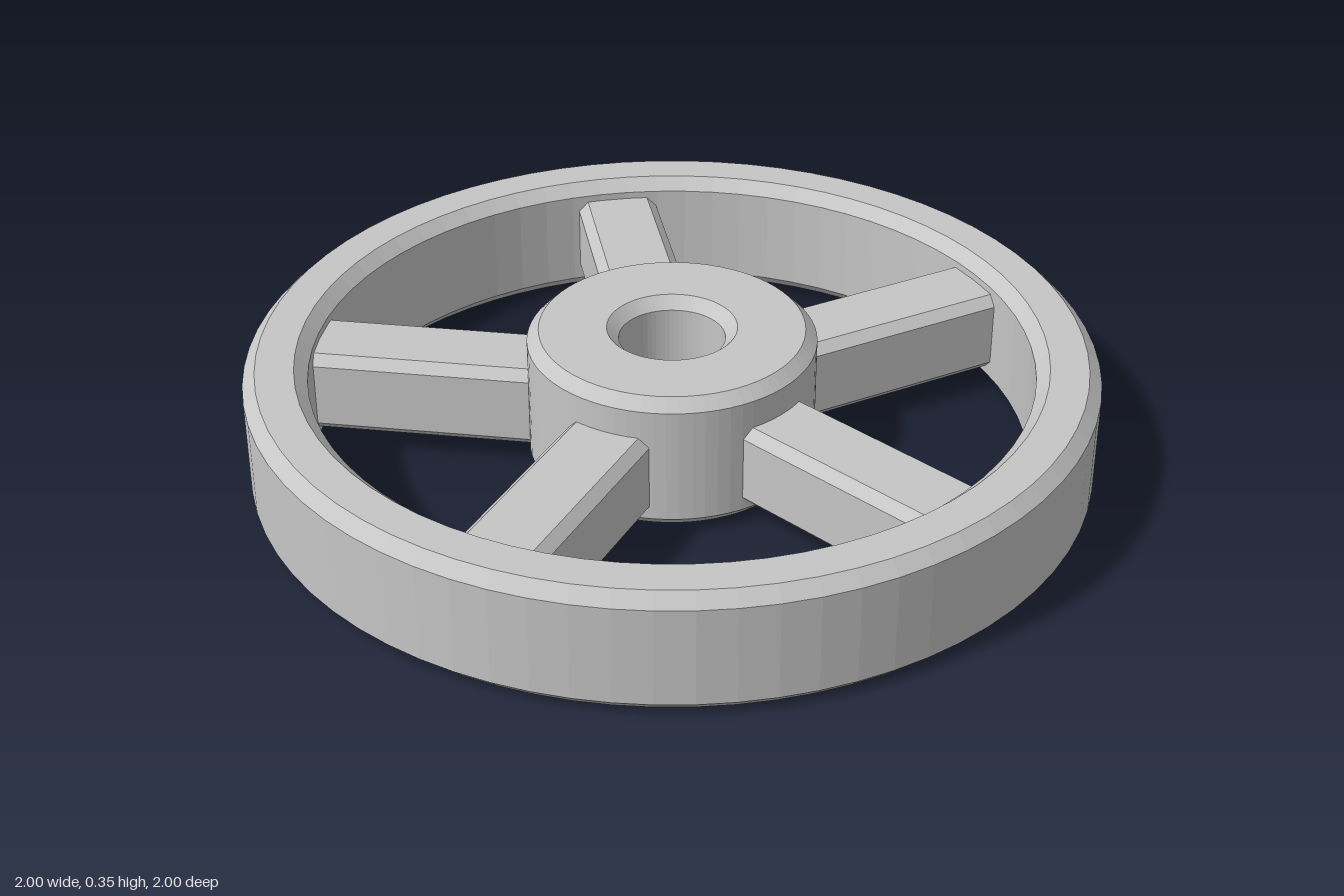
import * as THREE from 'three';

const metal = new THREE.MeshStandardMaterial({ color: 0xc6c6c6, flatShading: true });
metal.name = 'grey metal';

// Closed ring with chamfers on all four edges
function chamferedRing(name, inner, outer, bottom, top, c, segments) {
  const profile = [
    [inner + c, bottom], [outer - c, bottom], [outer, bottom + c], [outer, top - c],
    [outer - c, top], [inner + c, top], [inner, top - c], [inner, bottom + c], [inner + c, bottom],
  ].map(([r, y]) => new THREE.Vector2(r, y));
  const mesh = new THREE.Mesh(new THREE.LatheGeometry(profile, segments), metal);
  mesh.name = name;
  return mesh;
}

// Bar along +x with its long edges chamfered
function spokeGeometry(from, to, width, height, c) {
  const w = width / 2, h = height / 2;
  const section = new THREE.Shape([
    [-w + c, -h], [w - c, -h], [w, -h + c], [w, h - c],
    [w - c, h], [-w + c, h], [-w, h - c], [-w, -h + c],
  ].map(([x, y]) => new THREE.Vector2(x, y)));
  return new THREE.ExtrudeGeometry(section, { depth: to - from, bevelEnabled: false })
    .translate(0, 0, from)
    .rotateY(Math.PI / 2);
}

export function createModel() {
  const wheel = new THREE.Group();
  wheel.name = 'wheel';

  wheel.add(chamferedRing('rim', 0.85, 1, 0, 0.3, 0.03, 72));
  wheel.add(chamferedRing('hub', 0.125, 0.34, 0.01, 0.35, 0.028, 72));

  // Five spokes, sunk slightly into the hub and rim
  const spoke = spokeGeometry(0.325, 0.86, 0.205, 0.205, 0.024);
  for (let i = 0; i < 5; i++) {
    const mesh = new THREE.Mesh(spoke, metal);
    mesh.name = `spoke${i + 1}`;
    mesh.position.y = 0.15;
    mesh.rotation.y = (i * Math.PI * 2) / 5;
    wheel.add(mesh);
  }
  return wheel;
}
